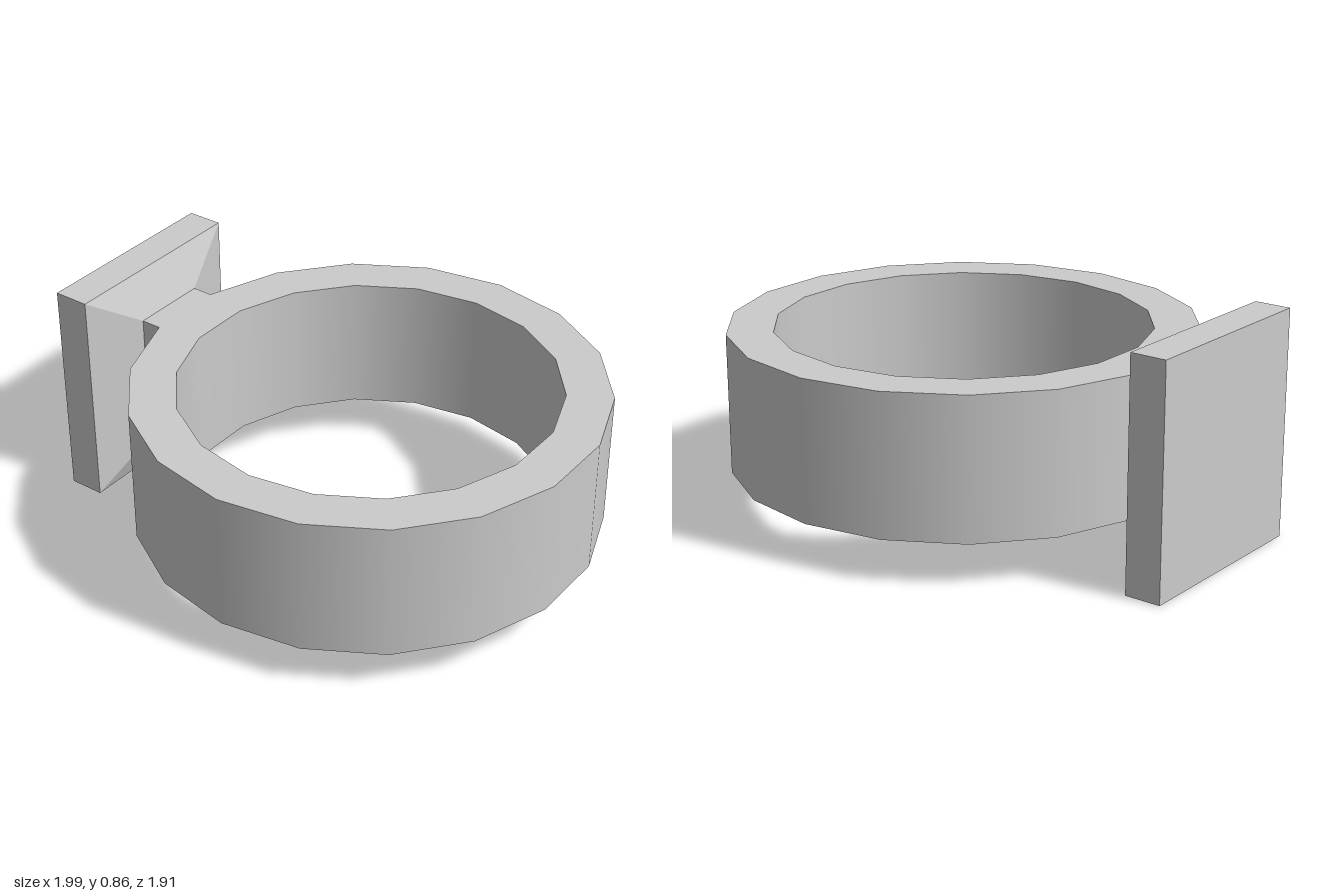
import * as THREE from 'three';

const SIDES = 18, STEP = (Math.PI * 2) / SIDES;
const R_OUT = 0.8775, R_IN = 0.705, BAND_HALF = 0.265;
const HEAD_ANGLE = -6.5 * STEP; // the band facet that carries the signet plate

// Straight-sided loft through rectangles [distance, halfWidth, halfHeight], capped at the far end
function rectLoft(sections) {
  const pos = [], idx = [];
  for (const [z, w, h] of sections) pos.push(-w, -h, z, w, -h, z, w, h, z, -w, h, z);
  for (let s = 0; s < sections.length - 1; s++) {
    for (let i = 0; i < 4; i++) {
      const a = s * 4 + i, b = s * 4 + ((i + 1) % 4);
      idx.push(a, b, b + 4, a, b + 4, a + 4);
    }
  }
  const e = (sections.length - 1) * 4;
  idx.push(e, e + 1, e + 2, e, e + 2, e + 3);
  const indexed = new THREE.BufferGeometry();
  indexed.setAttribute('position', new THREE.Float32BufferAttribute(pos, 3));
  indexed.setIndex(idx);
  const geo = indexed.toNonIndexed();
  geo.computeVertexNormals();
  return geo;
}

export function createModel() {
  const model = new THREE.Group();
  model.name = 'signetRing';
  const material = new THREE.MeshStandardMaterial({ color: 0xcccccc });
  const add = (parent, name, geometry) => {
    const mesh = new THREE.Mesh(geometry, material);
    mesh.name = name;
    parent.add(mesh);
  };

  // Band: one lathe per profile edge, so walls are smooth and rims stay crisp
  const band = new THREE.Group();
  band.name = 'band';
  const corners = [[R_OUT, -BAND_HALF], [R_OUT, BAND_HALF], [R_IN, BAND_HALF], [R_IN, -BAND_HALF]]
    .map(([x, y]) => new THREE.Vector2(x, y));
  ['outerWall', 'topRim', 'innerWall', 'bottomRim'].forEach((name, i) => {
    const profile = [corners[i], corners[(i + 1) % 4]];
    // The outer wall leaves out the facet where the neck grows from the band
    const gap = i === 0 ? 1 : 0;
    add(band, name, new THREE.LatheGeometry(profile, SIDES - gap, HEAD_ANGLE + STEP / 2, (SIDES - gap) * STEP));
  });

  // Neck, flare and square plate, growing outward from that facet
  const head = new THREE.Group();
  head.name = 'head';
  head.rotation.y = HEAD_ANGLE;
  const facetDist = R_OUT * Math.cos(STEP / 2), facetHalf = R_OUT * Math.sin(STEP / 2);
  add(head, 'neckAndPlate', rectLoft([
    [facetDist, facetHalf, BAND_HALF],
    [0.944, facetHalf, BAND_HALF],
    [1.009, 0.39, 0.4285],
    [1.148, 0.39, 0.4285],
  ]));

  model.add(band, head);
  for (const part of [band, head]) part.position.set(0.13, 0.4285, 0.0775);
  return model;
}
